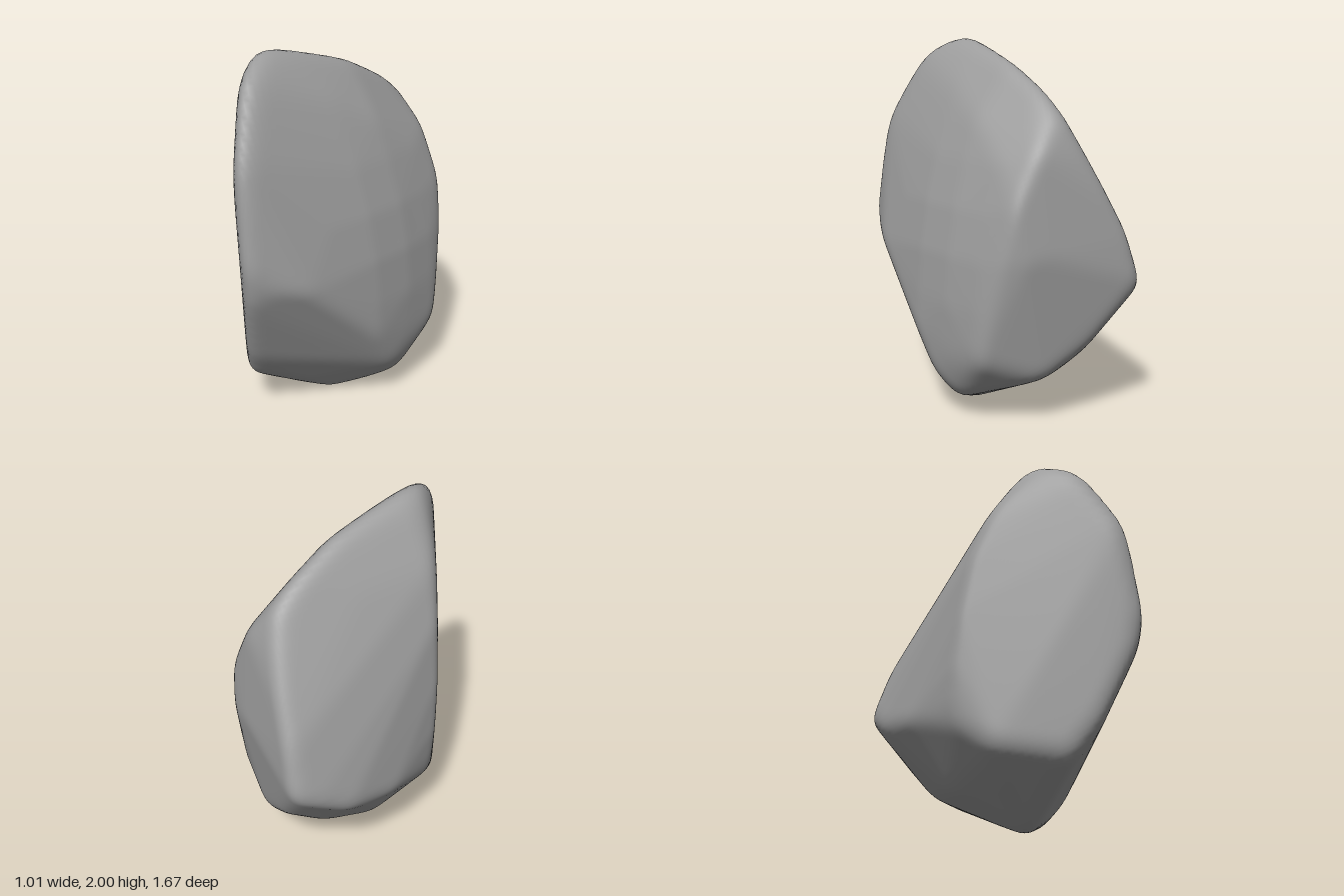
import * as THREE from 'three';
import { ConvexGeometry } from 'three/addons/geometries/ConvexGeometry.js';
import { mergeVertices } from 'three/addons/utils/BufferGeometryUtils.js';

const CORE = new THREE.Vector3(0, 0.95, 0);
const toVectors = (list) => list.map((p) => new THREE.Vector3(...p));

// Guide points [x, y, z] along the ridges of the stone
const topRidge = toVectors([
  [-0.135, 2, 0.37], [-0.08, 1.98, 0.2], [0.02, 1.88, -0.15], [0.07, 1.76, -0.39], [0.09, 1.64, -0.54],
]);
const frontRidge = toVectors([
  [-0.14, 1.975, 0.455], [-0.08, 1.87, 0.61], [-0.04, 1.74, 0.69], [0.01, 1.555, 0.78], [0.05, 1.34, 0.8],
  [0.07, 1.05, 0.835], [0.05, 0.82, 0.8], [0, 0.65, 0.735], [-0.06, 0.44, 0.65], [-0.14, 0.26, 0.535],
]);
const leftRidge = toVectors([
  [-0.2, 1.97, 0.3], [-0.37, 1.66, 0.2], [-0.44, 1.4, 0.13], [-0.485, 1.05, 0.09], [-0.5, 0.75, 0.06],
  [-0.49, 0.55, 0.05], [-0.465, 0.43, 0.07], [-0.39, 0.31, 0.24],
]);
const backRidge = toVectors([
  [0.08, 1.6, -0.56], [0.04, 1.45, -0.645], [-0.06, 1.22, -0.735], [-0.15, 1.0, -0.8], [-0.2, 0.78, -0.835],
]);
const backFace = toVectors([
  [0.28, 1.45, -0.55], [0.41, 1.19, -0.51], [0.46, 0.92, -0.47], [0.49, 0.6, -0.38], [0.46, 0.32, -0.26],
  [0.12, 0.95, -0.7], [0.28, 0.95, -0.625], [0.38, 0.92, -0.565], [0.28, 0.55, -0.56],
]);
const underside = toVectors([
  [0.07, 0, 0.08], [0, 0.1, 0.28], [0.28, 0.08, 0], [0.4, 0.14, -0.12], [0.33, 0.21, -0.35],
  [0.22, 0.285, -0.54], [0, 0.45, -0.68], [-0.12, 0.62, -0.77], [-0.455, 0.55, -0.3],
  [-0.37, 0.62, -0.59], [-0.28, 0.72, -0.75], [-0.25, 0.19, -0.18], [-0.1, 0.25, -0.44],
  [-0.3, 0.46, -0.47], [-0.185, 0.155, 0.05], [-0.25, 0.18, 0.15],
]);
const frontUndercut = toVectors([
  [0.18, 0.9, 0.73], [0.28, 0.86, 0.59], [0.37, 0.71, 0.36], [0.44, 0.47, 0.16], [0.44, 0.25, 0.02],
]);

// Broad bulging side: a paraboloid patch kept within its bordering ridges
function bulgingSide() {
  const points = [];
  for (const z of [-0.35, -0.1, 0.15, 0.4, 0.6]) {
    for (const y of [0.4, 0.65, 0.9, 1.15, 1.4, 1.6, 1.75]) {
      const x = 0.505 - 0.25 * (z + 0.35) ** 2 - 0.218 * (y - 0.55) ** 2;
      const aboveUndercut = 0.585 * x - 0.487 * y + 0.647 * z < 0.11;
      const behindFront = 0.62 * z - 0.79 * x < 0.4;
      const belowTop = y < 1.5 + 0.38 * (z + 0.55);
      if (aboveUndercut && behindFront && belowTop) points.push(new THREE.Vector3(x, y, z));
    }
  }
  return points;
}

// Opposite side: rows from the left ridge to the back ridge, swelling a little in the middle
function slopingSide() {
  const out = new THREE.Vector3(-0.89, 0.35, -0.29);
  return backRidge.flatMap((end, i) => [0.25, 0.5, 0.75].map((t) =>
    leftRidge[i + 1].clone().lerp(end, t).addScaledVector(out, 0.12 * t * (1 - t))));
}

// Face planes of the hull around the points, as normals divided by distance
function hullPlanes(points) {
  const pos = new ConvexGeometry(points).attributes.position;
  const planes = [];
  for (let i = 0; i < pos.count; i += 3) {
    const [a, b, c] = [0, 1, 2].map((k) => new THREE.Vector3().fromBufferAttribute(pos, i + k));
    const n = b.clone().sub(a).cross(c.sub(a));
    if (n.length() < 1e-7) continue;
    const h = n.normalize().dot(a);
    if (h > 0.02) planes.push(n.divideScalar(h));
  }
  return planes;
}

// Distance from the core in direction d, averaged over nearby directions to wear the edges round
function wornReach(planes, d) {
  const u = new THREE.Vector3(0, 0, 1);
  if (Math.abs(d.z) > 0.8) u.set(1, 0, 0);
  u.cross(d).normalize();
  const v = new THREE.Vector3().crossVectors(d, u);
  const s = new THREE.Vector3();
  let sum = 0;
  for (let k = 0; k < 17; k++) {
    const w = k === 16 ? 0 : k < 8 ? 0.04 : 0.08;
    const t = (k * Math.PI) / 4 + (k < 8 ? 0 : Math.PI / 8);
    s.copy(d).addScaledVector(u, w * Math.cos(t)).addScaledVector(v, w * Math.sin(t)).normalize();
    let m = 0;
    for (const p of planes) m = Math.max(m, p.dot(s));
    sum += 1 / m;
  }
  return sum / 17;
}

export function createModel() {
  const guides = [
    ...topRidge, ...frontRidge, ...leftRidge, ...backRidge, ...backFace,
    ...underside, ...frontUndercut, ...bulgingSide(), ...slopingSide(),
  ].map((p) => p.clone().sub(CORE));

  // Set the hull points slightly proud so that the worn surface meets the guides
  const proud = guides.map((p) => p.clone());
  for (let pass = 0; pass < 3; pass++) {
    const planes = hullPlanes(proud);
    guides.forEach((p, i) => {
      const r = p.length();
      proud[i].multiplyScalar(r / wornReach(planes, p.clone().divideScalar(r)));
    });
  }
  const planes = hullPlanes(proud);

  let geo = new THREE.IcosahedronGeometry(1, 40);
  geo.deleteAttribute('normal');
  geo.deleteAttribute('uv');
  geo = mergeVertices(geo, 1e-5);

  // Push every point of the ball out to the worn hull
  const pos = geo.attributes.position;
  const d = new THREE.Vector3();
  for (let i = 0; i < pos.count; i++) {
    d.fromBufferAttribute(pos, i).normalize();
    d.multiplyScalar(wornReach(planes, d)).add(CORE);
    pos.setXYZ(i, d.x, d.y, d.z);
  }
  geo.computeVertexNormals();

  const stone = new THREE.Mesh(geo, new THREE.MeshStandardMaterial({ color: 0x9d9d9d }));
  stone.name = 'stone';
  const group = new THREE.Group();
  group.name = 'rock';
  group.add(stone);
  return group;
}
